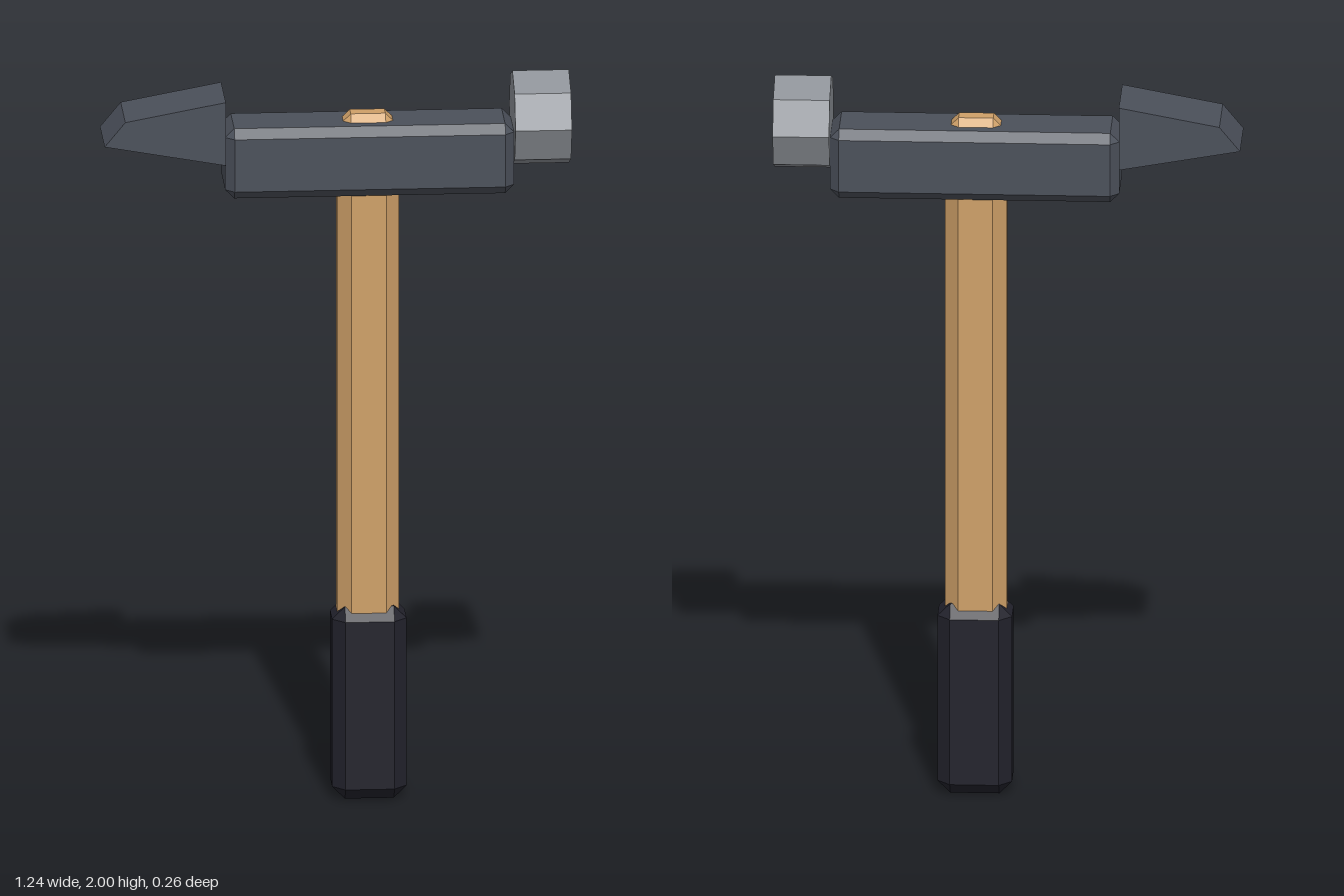
import * as THREE from 'three';
import { ConvexGeometry } from 'three/addons/geometries/ConvexGeometry.js';

function material(name, color) {
  const m = new THREE.MeshStandardMaterial({ color });
  m.name = name;
  m.flatShading = true;
  return m;
}

// Box with every edge chamfered by b, given as min and max corners
function chamferedBox(min, max, b) {
  const c = min.map((v, i) => (v + max[i]) / 2);
  const h = min.map((v, i) => (max[i] - v) / 2);
  const points = [];
  for (const sx of [-1, 1]) for (const sy of [-1, 1]) for (const sz of [-1, 1]) {
    for (let axis = 0; axis < 3; axis++) {
      const s = [sx, sy, sz];
      const p = s.map((v, i) => c[i] + v * (i === axis ? h[i] : h[i] - b));
      points.push(new THREE.Vector3(...p));
    }
  }
  return new ConvexGeometry(points);
}

export function createModel() {
  const group = new THREE.Group();
  const wood = material('wood', 0xcfa068);
  const darkSteel = material('darkSteel', 0x4b505a);
  const brightSteel = material('brightSteel', 0x8d9197);
  const rubber = material('rubber', 0x22222c);

  function add(name, geometry, mat) {
    const mesh = new THREE.Mesh(geometry, mat);
    mesh.name = name;
    group.add(mesh);
    return mesh;
  }

  // Handle runs from the butt up through the head
  add('handle', chamferedBox([0.003, 0, -0.057], [0.167, 1.895, 0.057], 0.036), wood);

  // Grip sleeve
  add('grip', chamferedBox([-0.012, 0.003, -0.076], [0.186, 0.535, 0.076], 0.034), rubber);

  // Head block
  add('headBlock', chamferedBox([-0.298, 1.682, -0.094], [0.47, 1.875, 0.094], 0.024), darkSteel);

  // Wedge-shaped peen
  const profile = new THREE.Shape([
    new THREE.Vector2(-0.298, 1.78),
    new THREE.Vector2(-0.298, 1.955),
    new THREE.Vector2(-0.565, 1.905),
    new THREE.Vector2(-0.62, 1.838),
  ]);
  const peen = new THREE.ExtrudeGeometry(profile, { depth: 0.188, bevelEnabled: false });
  peen.translate(0, 0, -0.094);
  add('peen', peen, darkSteel);

  // Octagonal striking face
  const striker = new THREE.CylinderGeometry(0.129, 0.129, 0.15, 8);
  striker.rotateZ(-Math.PI / 2);
  add('strikingFace', striker, brightSteel).position.set(0.545, 1.871, 0);

  return group;
}
